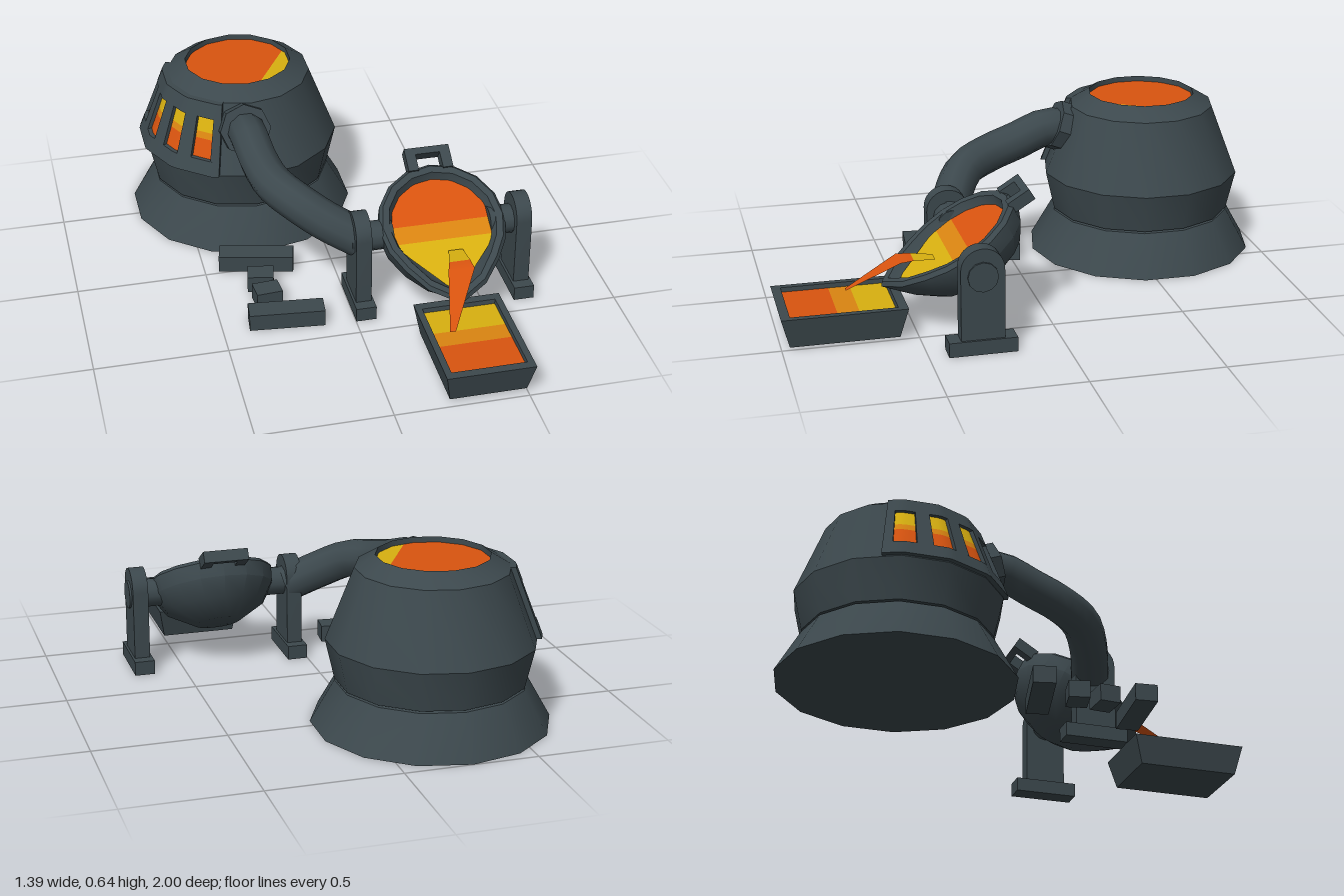
import * as THREE from 'three';
import { toCreasedNormals } from 'three/addons/utils/BufferGeometryUtils.js';

const mat = (name, color, opts = {}) => {
  const m = new THREE.MeshStandardMaterial({ color, ...opts });
  m.name = name;
  return m;
};

export function createModel() {
  const model = new THREE.Group();
  const iron = mat('dark iron', 0x3c484d);
  const orange = mat('molten orange', 0xd9540f, { side: THREE.DoubleSide });
  const amber = mat('molten amber', 0xda8511, { side: THREE.DoubleSide });
  const yellow = mat('molten yellow', 0xd8b010, { side: THREE.DoubleSide });

  const add = (parent, name, geo, material, x = 0, y = 0, z = 0) => {
    const mesh = new THREE.Mesh(geo, material);
    mesh.name = name;
    mesh.position.set(x, y, z);
    parent.add(mesh);
    return mesh;
  };
  const group = (name, x, y, z) => {
    const g = new THREE.Group();
    g.name = name;
    g.position.set(x, y, z);
    model.add(g);
    return g;
  };
  const lathe = (pts, sides) =>
    new THREE.LatheGeometry(pts.map(([r, y]) => new THREE.Vector2(r, y)), sides);

  // Flat strip of molten metal from z0 to z1 with a half width that depends on z
  const band = (halfWidth, z0, z1, steps = 10) => {
    const right = [], left = [];
    for (let i = 0; i <= steps; i++) {
      const z = z0 + (z1 - z0) * i / steps, w = Math.max(halfWidth(z), 0.0005);
      right.push(new THREE.Vector2(w, -z));
      left.unshift(new THREE.Vector2(-w, -z));
    }
    return new THREE.ShapeGeometry(new THREE.Shape([...right, ...left])).rotateX(-Math.PI / 2);
  };
  const round = r => z => Math.sqrt(Math.max(r * r - z * z, 0));

  // Furnace: flared base, body with an open top
  const SIDES = 14;
  const furnace = group('furnace', -0.255, 0, -0.555);
  add(furnace, 'furnaceBase',
    toCreasedNormals(new THREE.CylinderGeometry(0.355, 0.445, 0.16, SIDES), 0.5), iron, 0, 0.08, 0);
  const body = lathe([[0, 0.168], [0.355, 0.168], [0.39, 0.32], [0.285, 0.59],
    [0.21, 0.636], [0.205, 0.58]], SIDES);
  add(furnace, 'furnaceBody', toCreasedNormals(body, 0.5), iron);
  const pool = new THREE.Group();
  pool.name = 'furnacePool';
  pool.position.y = 0.615;
  pool.rotation.y = Math.PI / 3;
  furnace.add(pool);
  add(pool, 'poolOrange', band(round(0.208), -0.208, 0.136, 24), orange);
  add(pool, 'poolYellow', band(round(0.208), 0.136, 0.208), yellow);

  // A box bent onto the faceted upper wall: angles in degrees, heights, offsets
  const bent = (a0, a1, y0, y1, o0, o1) => {
    const g = new THREE.BoxGeometry(1, 1, 1, Math.ceil((a1 - a0) / 4), 1, 1);
    const p = g.attributes.position, step = 2 * Math.PI / SIDES;
    for (let i = 0; i < p.count; i++) {
      const a = THREE.MathUtils.degToRad(a0 + (a1 - a0) * (p.getX(i) + 0.5));
      const y = y0 + (y1 - y0) * (p.getY(i) + 0.5);
      const off = o0 + (o1 - o0) * (p.getZ(i) + 0.5);
      const local = a - Math.floor(a / step) * step - step / 2;
      const r = (0.39 - 0.389 * (y - 0.32)) * Math.cos(step / 2) / Math.cos(local) + off;
      p.setXYZ(i, r * Math.sin(a), y, r * Math.cos(a));
    }
    return toCreasedNormals(g, 0.5);
  };

  // Raised vent frame with four glowing slots
  const vents = new THREE.Group();
  vents.name = 'ventPanel';
  furnace.add(vents);
  add(vents, 'ventSill', bent(-113, -22, 0.325, 0.38, -0.01, 0.02), iron);
  add(vents, 'ventLintel', bent(-113, -22, 0.535, 0.593, -0.01, 0.02), iron);
  const slots = [-101, -78.7, -56.3, -34], half = 6.5;
  let start = -113;
  for (const c of [...slots, -22 + half]) {
    add(vents, 'ventPillar', bent(start, c - half, 0.38, 0.535, -0.01, 0.02), iron);
    start = c + half;
  }
  for (const c of slots) {
    add(vents, 'ventGlowLow', bent(c - half, c + half, 0.38, 0.45, 0, 0.004), orange);
    add(vents, 'ventGlowMid', bent(c - half, c + half, 0.45, 0.475, 0, 0.004), amber);
    add(vents, 'ventGlowHigh', bent(c - half, c + half, 0.475, 0.535, 0, 0.004), yellow);
  }

  // Pouring pipe and its collar
  const collar = add(model, 'pipeCollar',
    new THREE.CylinderGeometry(0.1, 0.1, 0.055, 8).toNonIndexed(), iron, -0.29, 0.503, -0.228);
  collar.geometry.computeVertexNormals();
  collar.rotation.x = 1.2;
  const path = new THREE.CatmullRomCurve3([
    [-0.29, 0.48, -0.29], [-0.285, 0.505, -0.18], [-0.268, 0.46, -0.04], [-0.24, 0.43, 0.07],
    [-0.165, 0.4, 0.185], [-0.07, 0.345, 0.25], [0.045, 0.285, 0.295],
  ].map(p => new THREE.Vector3(...p)));
  add(model, 'pipe', new THREE.TubeGeometry(path, 16, 0.075, 10), iron);

  // Two round-topped posts with feet and trunnions
  const postShape = new THREE.Shape();
  postShape.moveTo(-0.08, 0).lineTo(0.08, 0).lineTo(0.08, 0.32);
  postShape.absarc(0, 0.32, 0.08, 0, Math.PI);
  const postGeo = new THREE.ExtrudeGeometry(postShape,
    { depth: 0.06, bevelEnabled: false, curveSegments: 8 });
  postGeo.translate(0, 0, -0.03).rotateY(Math.PI / 2);
  for (const s of [-1, 1]) {
    const post = group(s < 0 ? 'rightPost' : 'leftPost', 0.35 + s * 0.31, 0, 0.305);
    add(post, 'post', toCreasedNormals(postGeo, 0.5), iron);
    add(post, 'foot', new THREE.BoxGeometry(0.078, 0.055, 0.25), iron, 0, 0.0275, 0);
    const axle = add(post, 'trunnion', new THREE.CylinderGeometry(0.056, 0.056, 0.16, 12),
      iron, -s * 0.042, 0.295, 0);
    axle.rotation.z = Math.PI / 2;
  }

  // Tilted ladle: bowl whose front rim is drawn out into a spout
  const ladle = group('ladle', 0.355, 0.33, 0.33);
  ladle.rotation.x = 0.56;
  const bowl = lathe([[0, -0.19], [0.09, -0.19], [0.195, -0.13], [0.24, -0.06], [0.245, 0],
    [0.232, 0.015], [0.207, 0.012], [0.18, -0.05], [0.12, -0.1]], 16);
  const bp = bowl.attributes.position;
  for (let i = 0; i < bp.count; i++) {
    const x = bp.getX(i), y = bp.getY(i), z = bp.getZ(i), r = Math.hypot(x, z);
    if (r < 0.01) continue;
    const w = Math.max(0, 1 - Math.abs(Math.atan2(x, z)) / 0.95) ** 1.4;
    const k = 1 + 0.088 * w * THREE.MathUtils.clamp(1 + y / 0.13, 0, 1) / r;
    bp.setXYZ(i, x * k, y, z * k);
  }
  add(ladle, 'ladleBowl', toCreasedNormals(bowl, 0.6), iron);
  const melt = z => z < 0.11 ? round(0.192)(z) : THREE.MathUtils.lerp(0.157, 0.02, (z - 0.11) / 0.15);
  add(ladle, 'ladleMeltOrange', band(melt, -0.192, -0.01, 16), orange, 0, -0.02, 0);
  add(ladle, 'ladleMeltAmber', band(melt, -0.01, 0.06), amber, 0, -0.02, 0);
  add(ladle, 'ladleMeltYellow', band(melt, 0.06, 0.26), yellow, 0, -0.02, 0);

  // Tipping handle behind the rim
  add(ladle, 'handleBar', new THREE.BoxGeometry(0.175, 0.045, 0.028), iron, 0, 0, -0.298);
  for (const s of [-1, 1])
    add(ladle, 'handleArm', new THREE.BoxGeometry(0.04, 0.045, 0.085), iron, s * 0.0675, 0, -0.26);

  // Pouring stream: a thin ribbon of cross-sections [left x, right x, y, z]
  const ribbon = (rows) => {
    const pos = [], idx = [];
    rows.forEach(([l, r, y, z], i) => {
      pos.push(l, y, z, r, y, z);
      if (i) idx.push(2 * i - 2, 2 * i, 2 * i - 1, 2 * i - 1, 2 * i, 2 * i + 1);
    });
    const g = new THREE.BufferGeometry();
    g.setAttribute('position', new THREE.Float32BufferAttribute(pos, 3));
    g.setIndex(idx);
    g.computeVertexNormals();
    return g;
  };
  add(model, 'streamStart', ribbon([[0.355, 0.41, 0.262, 0.42], [0.335, 0.415, 0.266, 0.5]]), yellow);
  add(model, 'streamFall', ribbon([[0.335, 0.415, 0.266, 0.5], [0.318, 0.418, 0.262, 0.55],
    [0.276, 0.298, 0.125, 0.735]]), orange);

  // Casting tray: four-sided tapered pan with molten fill
  const tray = group('castingTray', 0.355, 0, 0.77);
  const q = Math.SQRT2;
  const pan = lathe([[0, 0.01], [0.87 * q, 0.01], [q, 0.125], [0.85 * q, 0.125], [0.82 * q, 0.08]], 4)
    .rotateY(Math.PI / 4).scale(0.165, 1, 0.23).toNonIndexed();
  pan.computeVertexNormals();
  add(tray, 'trayPan', pan, iron);
  const fill = () => 0.138;
  add(tray, 'trayMeltYellow', band(fill, -0.192, -0.06, 1), yellow, 0, 0.108, 0);
  add(tray, 'trayMeltAmber', band(fill, -0.06, 0.02, 1), amber, 0, 0.108, 0);
  add(tray, 'trayMeltOrange', band(fill, 0.02, 0.192, 1), orange, 0, 0.108, 0);

  // Ingots lying on the floor: [x, z, length, width, turn]
  for (const [x, z, len, wid, turn] of [
    [-0.295, -0.02, 0.29, 0.085, -0.22], [-0.305, 0.12, 0.1, 0.08, -0.2],
    [-0.3, 0.228, 0.1, 0.08, 0.08], [-0.255, 0.37, 0.285, 0.085, -0.1],
  ]) {
    const bar = add(model, 'ingot', new THREE.BoxGeometry(len, 0.066, wid), iron, x, 0.033, z);
    bar.rotation.y = turn;
  }
  return model;
}
